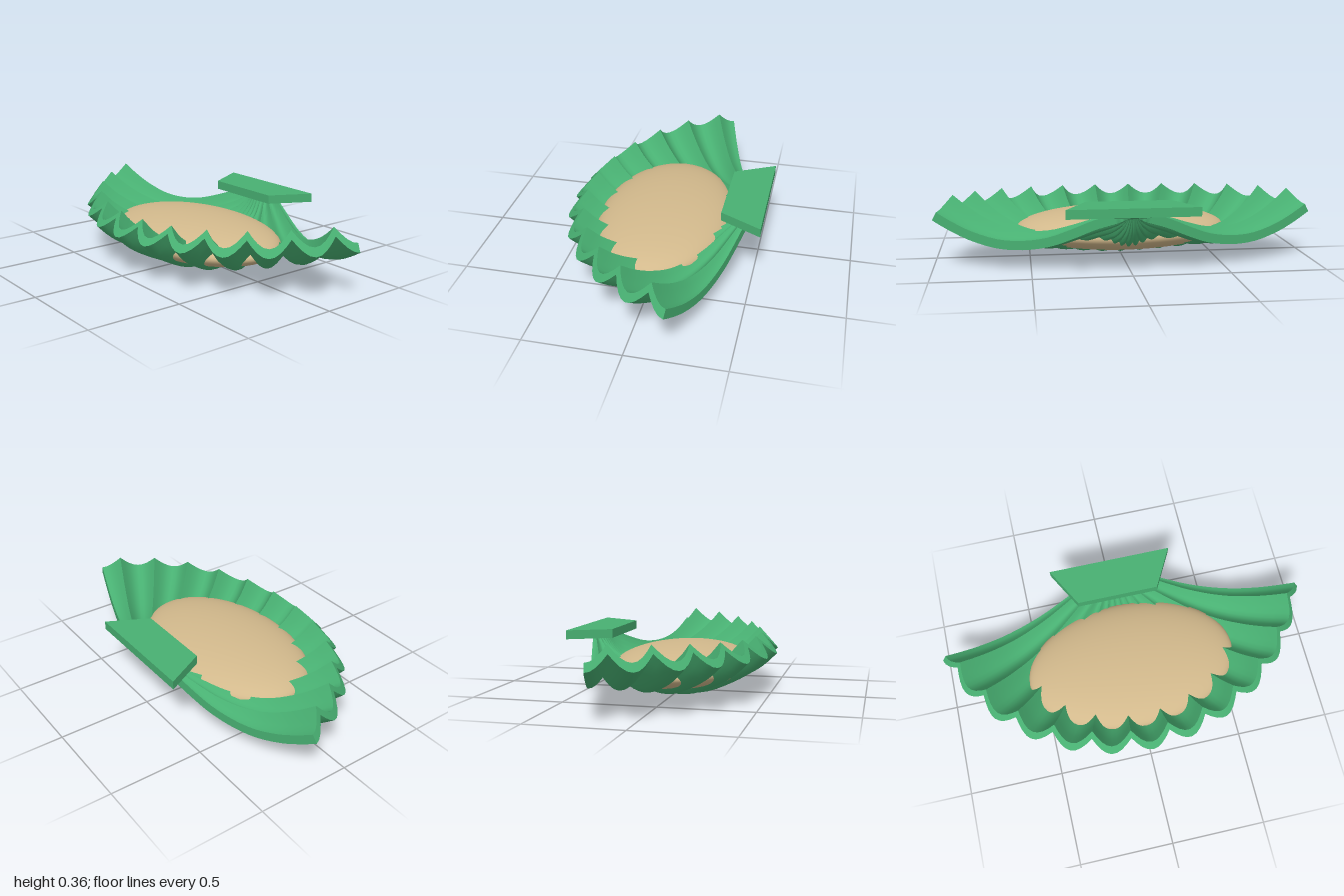
import * as THREE from 'three';
import { toCreasedNormals } from 'three/addons/utils/BufferGeometryUtils.js';

const HINGE_Z = -0.5;      // centre of the fan
const HALF_FAN = 73 * Math.PI / 180;
const LOBES = 6;           // lobes on each side of the middle one
const PER_LOBE = 8;
const STEPS = 30;
const THICK = 0.048;

// Outer profiles from hinge to rim, as height over distance
const RADII = [0.03, 0.07, 0.13, 0.2, 0.3, 0.42, 0.56, 0.7, 0.84, 0.95, 1.03];
const MIDDLE = [0.29, 0.21, 0.14, 0.105, 0.075, 0.035, 0.003, 0.02, 0.08, 0.145, 0.22];
const SIDE = [0.29, 0.27, 0.25, 0.225, 0.18, 0.135, 0.112, 0.117, 0.155, 0.205, 0.25];
const profile = (heights) =>
  new THREE.SplineCurve(RADII.map((r, i) => new THREE.Vector2(r, heights[i])));

// Fan of rounded lobes meeting in sharp crests, with an even wall thickness
function fanGeometry() {
  const middle = profile(MIDDLE), side = profile(SIDE);
  const columns = 2 * LOBES * PER_LOBE;
  const loop = 2 * (STEPS + 1);
  const positions = [], index = [];

  for (let i = 0; i <= columns; i++) {
    const phase = i / PER_LOBE - LOBES;
    const a = phase / LOBES * HALF_FAN;
    const s2 = Math.sin(a) ** 2;
    const blend = Math.min(1, s2 / Math.sin(HALF_FAN) ** 2);
    const crest = 1 - Math.abs(Math.cos(Math.PI * phase));
    for (let k = 0; k < loop; k++) {
      const inner = k > STEPS;
      const t = (inner ? loop - 1 - k : k) / STEPS;
      const p = middle.getPoint(t).lerp(side.getPoint(t), blend);
      const d = middle.getTangent(t).lerp(side.getTangent(t), blend).normalize();
      const offset = 0.088 * p.x * crest + (inner ? THICK : 0);
      const r = p.x * (1 + 0.016 * s2) - d.y * offset;
      const y = p.y + d.x * offset;
      positions.push(r * Math.sin(a), y, HINGE_Z + r * Math.cos(a));
    }
  }

  const quad = (a, b, c, d) => index.push(a, b, c, a, c, d);
  for (let i = 0; i < columns; i++) {
    for (let k = 0; k < loop; k++) {
      const n = (k + 1) % loop;
      const p = i * loop, q = p + loop;
      quad(p + k, q + k, q + n, p + n);
    }
  }
  // Side edges of the fan
  const last = columns * loop;
  for (let j = 0; j < STEPS; j++) {
    const u = loop - 1 - j;
    quad(j, j + 1, u - 1, u);
    quad(last + u, last + u - 1, last + j + 1, last + j);
  }

  const g = new THREE.BufferGeometry();
  g.setAttribute('position', new THREE.Float32BufferAttribute(positions, 3));
  g.setIndex(index);
  return toCreasedNormals(g, 0.6);
}

export function createModel() {
  const model = new THREE.Group();
  const green = new THREE.MeshStandardMaterial({ color: 0x48b072 });
  green.name = 'shell green';
  const sand = new THREE.MeshStandardMaterial({ color: 0xd2b98c });
  sand.name = 'sand';

  const add = (name, geometry, material) => {
    const mesh = new THREE.Mesh(geometry, material);
    mesh.name = name;
    model.add(mesh);
    return mesh;
  };

  // Scalloped bowl
  add('shellFan', fanGeometry(), green);

  // Flattened filling, resting in the bowl
  const filling = add('filling', new THREE.SphereGeometry(1, 64, 40), sand);
  filling.scale.set(0.57, 0.11, 0.362);
  filling.position.set(0, 0.155, 0.018);

  // Hinge plate, wider at the back
  const outline = new THREE.Shape([
    new THREE.Vector2(-0.335, 0.537), new THREE.Vector2(-0.22, 0.32),
    new THREE.Vector2(0.22, 0.32), new THREE.Vector2(0.335, 0.537),
  ]);
  const plate = new THREE.ExtrudeGeometry(outline, { depth: 0.047, bevelEnabled: false });
  plate.rotateX(-Math.PI / 2);
  plate.translate(0, 0.304, 0);
  add('hingePlate', plate, green);

  // Low boss joining the plate to the fan
  const boss = add('hingeBoss', new THREE.CylinderGeometry(1, 0.6, 0.018, 24), green);
  boss.scale.set(0.2, 1, 0.09);
  boss.position.set(0, 0.297, -0.43);

  return model;
}
